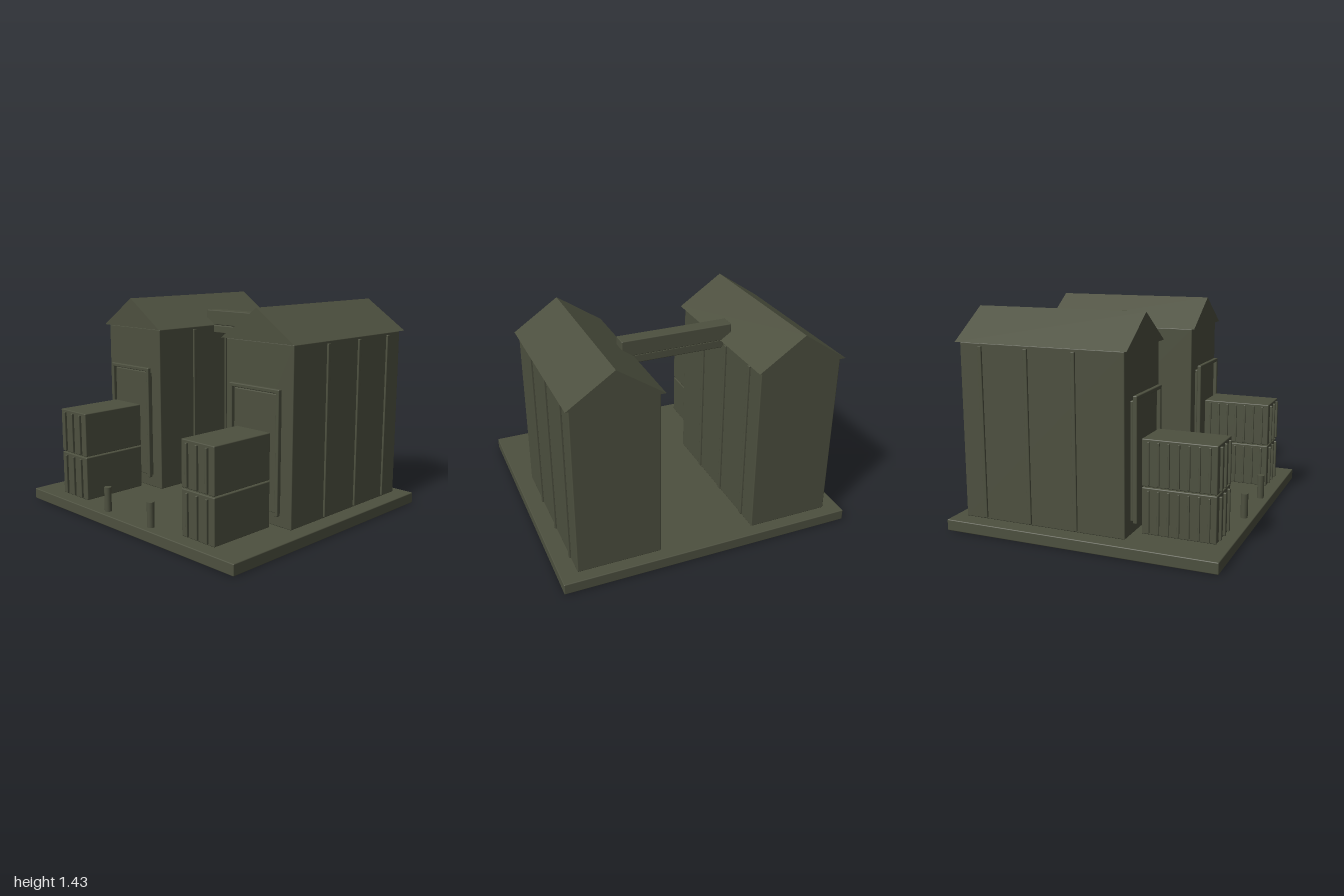
import * as THREE from 'three';
import { RoundedBoxGeometry } from 'three/addons/geometries/RoundedBoxGeometry.js';

const olive = new THREE.MeshStandardMaterial({ color: 0x4d503f });
olive.name = 'olive';

function add(parent, name, geometry, x = 0, y = 0, z = 0) {
  const mesh = new THREE.Mesh(geometry, olive);
  mesh.name = name;
  mesh.position.set(x, y, z);
  parent.add(mesh);
  return mesh;
}

// Softly bevelled box given by its extents
function box(parent, name, [x0, x1], [y0, y1], [z0, z1], bevel = 0.006) {
  const w = x1 - x0, h = y1 - y0, d = z1 - z0;
  const r = Math.min(bevel, Math.min(w, h, d) * 0.25);
  return add(parent, name, new RoundedBoxGeometry(w, h, d, 2, r),
    (x0 + x1) / 2, (y0 + y1) / 2, (z0 + z1) / 2);
}

// Gabled warehouse, centred on its own x = 0
function warehouse() {
  const g = new THREE.Group();
  g.name = 'warehouse';
  box(g, 'walls', [-0.28, 0.28], [0.075, 1.228], [-0.838, 0.292]);

  const gable = new THREE.Shape([[-0.303, 1.23], [0.303, 1.23], [0, 1.435]]
    .map(([x, y]) => new THREE.Vector2(x, y)));
  add(g, 'roof', new THREE.ExtrudeGeometry(gable, { depth: 1.177, bevelEnabled: false }), 0, 0, -0.86);

  // Wall ribs on both long sides
  for (const side of [-1, 1])
    for (const z of [-0.04, -0.365, -0.69])
      box(g, 'wallRib', [side * 0.285 - 0.008, side * 0.285 + 0.008], [0.085, 1.21], [z - 0.013, z + 0.013]);

  // Door and its surround
  box(g, 'door', [-0.19, 0.19], [0.165, 0.92], [0.288, 0.31]);
  for (const side of [-1, 1])
    box(g, 'doorJamb', [side * 0.196 - 0.012, side * 0.196 + 0.012], [0.157, 0.955], [0.314, 0.342]);
  box(g, 'doorLintel', [-0.208, 0.208], [0.93, 0.956], [0.314, 0.342]);
  return g;
}

// Cargo container with ribs on its front and one long side
function container() {
  const g = new THREE.Group();
  g.name = 'container';
  box(g, 'containerBody', [-0.14, 0.14], [0, 0.3], [0.35, 0.831]);
  for (const x of [-0.085, 0, 0.085])
    box(g, 'frontRib', [x - 0.008, x + 0.008], [0.01, 0.285], [0.825, 0.848]);
  for (let i = 0; i < 7; i++) {
    const z = 0.395 + i * 0.065;
    box(g, 'sideRib', [-0.15, -0.135], [0.01, 0.285], [z - 0.007, z + 0.007]);
  }
  return g;
}

export function createModel() {
  const model = new THREE.Group();
  model.name = 'warehouseYard';

  box(model, 'base', [-1, 1], [0, 0.075], [-0.92, 0.92]);

  for (const side of [-1, 1]) {
    const hall = warehouse();
    hall.position.x = side * 0.607;
    model.add(hall);

    for (const y of [0.08, 0.387]) {
      const crate = container();
      crate.position.set(side * 0.62, y, 0);
      model.add(crate);
    }

    add(model, 'bollard', new THREE.CylinderGeometry(0.024, 0.024, 0.17, 16), side * 0.218, 0.155, 0.855);
  }

  // Overhead crane beam with its lower rail
  box(model, 'craneBeam', [-0.38, 0.38], [1.23, 1.337], [-0.325, -0.225]);
  box(model, 'craneRail', [-0.33, 0.33], [1.17, 1.225], [-0.31, -0.24]);

  return model;
}
